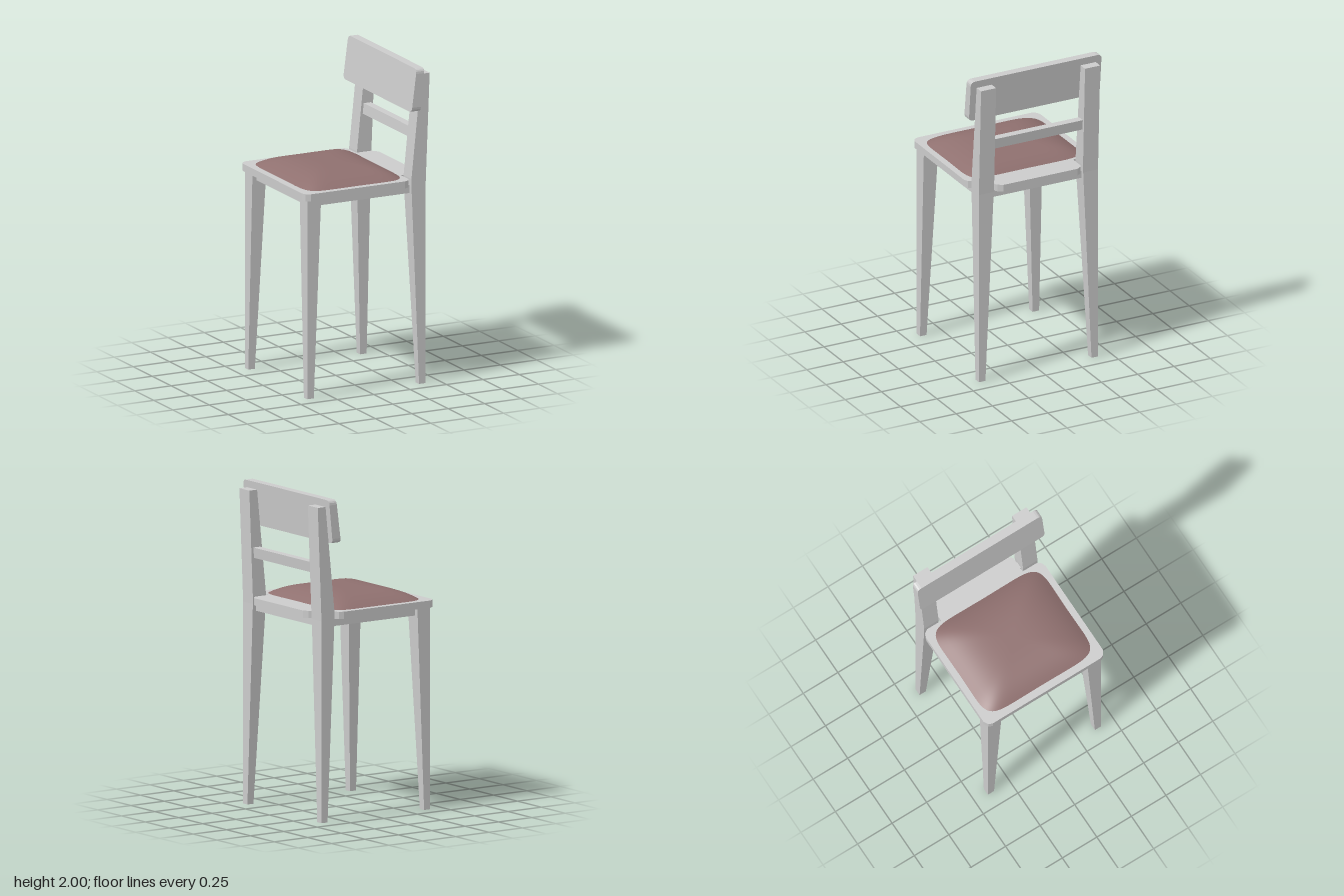
import * as THREE from 'three';

const wood = new THREE.MeshStandardMaterial({ color: 0xcccccc, flatShading: true });
const fabric = new THREE.MeshStandardMaterial({ color: 0x8f706f });

// Stacks rectangular sections [y, x0, x1, z0, z1] (bottom to top) into a closed post
function post(sections) {
  const pos = [], index = [];
  for (const [y, x0, x1, z0, z1] of sections) {
    pos.push(x0, y, z0, x0, y, z1, x1, y, z1, x1, y, z0);
  }
  const last = (sections.length - 1) * 4;
  for (let b = 0; b < last; b += 4) {
    for (let i = 0; i < 4; i++) {
      const j = (i + 1) % 4;
      index.push(b + i, b + j, b + 4 + j, b + i, b + 4 + j, b + 4 + i);
    }
  }
  index.push(0, 2, 1, 0, 3, 2, last, last + 1, last + 2, last, last + 2, last + 3);
  const g = new THREE.BufferGeometry();
  g.setAttribute('position', new THREE.Float32BufferAttribute(pos, 3));
  g.setIndex(index);
  const flat = g.toNonIndexed();
  flat.computeVertexNormals();
  return flat;
}

// Flips a section list to the other side in z
const mirrorZ = (sections) => sections.map(([y, x0, x1, z0, z1]) => [y, x0, x1, -z1, -z0]);

// Seat board: chamfered corners, notched for the back legs, with a tongue between them
function seatGeometry() {
  const half = [[-0.435, 0.39], [-0.425, 0.415], [-0.395, 0.432], [0.25, 0.432],
    [0.28, 0.42], [0.295, 0.395], [0.295, 0.295], [0.395, 0.295], [0.41, 0.285], [0.43, 0.255]];
  const outline = [...half, ...half.map(([x, z]) => [x, -z]).reverse()];
  const shape = new THREE.Shape(outline.map(([x, z]) => new THREE.Vector2(x, z)));
  const g = new THREE.ExtrudeGeometry(shape, { depth: 0.045, bevelEnabled: false });
  return g.rotateX(-Math.PI / 2).translate(0, 1.252, 0);
}

// Domed cushion: rings of a rounded rectangle with slightly drawn-in sides
function cushionGeometry() {
  const around = 64, rings = 14, pos = [0, 1.366, 0], index = [];
  for (let r = 1; r <= rings; r++) {
    const s = r / rings;
    for (let i = 0; i < around; i++) {
      const a = (i / around) * Math.PI * 2, c = Math.cos(a), d = Math.sin(a);
      const u = Math.sign(c) * Math.abs(c) ** 0.3, v = Math.sign(d) * Math.abs(d) ** 0.3;
      const x = 0.334 * u * (1 + 0.025 * v * v), z = 0.392 * v * (1 + 0.025 * u * u);
      pos.push(x * s, 1.296 + 0.07 * (1 - s ** 3.4), z * s);
    }
  }
  for (let i = 0; i < around; i++) {
    const j = (i + 1) % around;
    index.push(0, 1 + j, 1 + i);
    for (let r = 0; r < rings - 1; r++) {
      const a = 1 + r * around, b = a + around;
      index.push(a + i, a + j, b + j, a + i, b + j, b + i);
    }
  }
  const g = new THREE.BufferGeometry();
  g.setAttribute('position', new THREE.Float32BufferAttribute(pos, 3));
  g.setIndex(index);
  g.translate(-0.055, 0, 0);
  g.computeVertexNormals();
  return g;
}

// Back board: rounded panel that leans backwards and thins towards the top
function backBoardGeometry() {
  const w = 0.45, y0 = 1.73, y1 = 2, r = 0.03;
  const s = new THREE.Shape();
  s.moveTo(-w + r, y0);
  s.lineTo(w - r, y0);
  s.quadraticCurveTo(w, y0, w, y0 + r);
  s.lineTo(w, y1 - r);
  s.quadraticCurveTo(w, y1, w - r, y1);
  s.lineTo(-w + r, y1);
  s.quadraticCurveTo(-w, y1, -w, y1 - r);
  s.lineTo(-w, y0 + r);
  s.quadraticCurveTo(-w, y0, -w + r, y0);
  const g = new THREE.ExtrudeGeometry(s, { depth: 1, bevelEnabled: false, curveSegments: 4 });
  g.rotateY(Math.PI / 2);
  const p = g.attributes.position;
  for (let i = 0; i < p.count; i++) {
    const t = (p.getY(i) - y0) / (y1 - y0);
    const front = 0.286 + 0.035 * t, back = 0.348 + 0.027 * t;
    p.setX(i, front + (back - front) * p.getX(i));
  }
  g.computeVertexNormals();
  return g;
}

export function createModel() {
  const chair = new THREE.Group();
  chair.name = 'chair';
  const add = (name, geometry, material = wood) => {
    const mesh = new THREE.Mesh(geometry, material);
    mesh.name = name;
    chair.add(mesh);
  };
  const bar = (name, sx, sy, sz, x, y, z) =>
    add(name, new THREE.BoxGeometry(sx, sy, sz).translate(x, y, z));

  // Legs taper on their inner faces; the back pair continues up as leaning posts
  const frontLeg = [[0, -0.41, -0.365, 0.365, 0.41], [1.255, -0.41, -0.315, 0.31, 0.41]];
  const backLeg = [[0, 0.358, 0.403, 0.365, 0.41], [1.25, 0.306, 0.403, 0.308, 0.41],
    [1.3, 0.306, 0.405, 0.306, 0.41], [1.955, 0.373, 0.431, 0.306, 0.41]];
  add('frontLegLeft', post(frontLeg));
  add('frontLegRight', post(mirrorZ(frontLeg)));
  add('backLegLeft', post(backLeg));
  add('backLegRight', post(mirrorZ(backLeg)));

  // Apron rails under the seat
  for (const side of [1, -1]) {
    bar(side > 0 ? 'apronLeft' : 'apronRight', 0.64, 0.05, 0.045, -0.005, 1.23, side * 0.36);
  }
  bar('apronFront', 0.045, 0.05, 0.64, -0.36, 1.23, 0);
  bar('apronBack', 0.045, 0.05, 0.64, 0.355, 1.23, 0);

  add('seat', seatGeometry());
  add('cushion', cushionGeometry(), fabric);

  // Back rest
  add('backRail', post([[1.535, 0.345, 0.395, -0.315, 0.315], [1.6, 0.352, 0.402, -0.315, 0.315]]));
  add('backBoard', backBoardGeometry());
  return chair;
}
